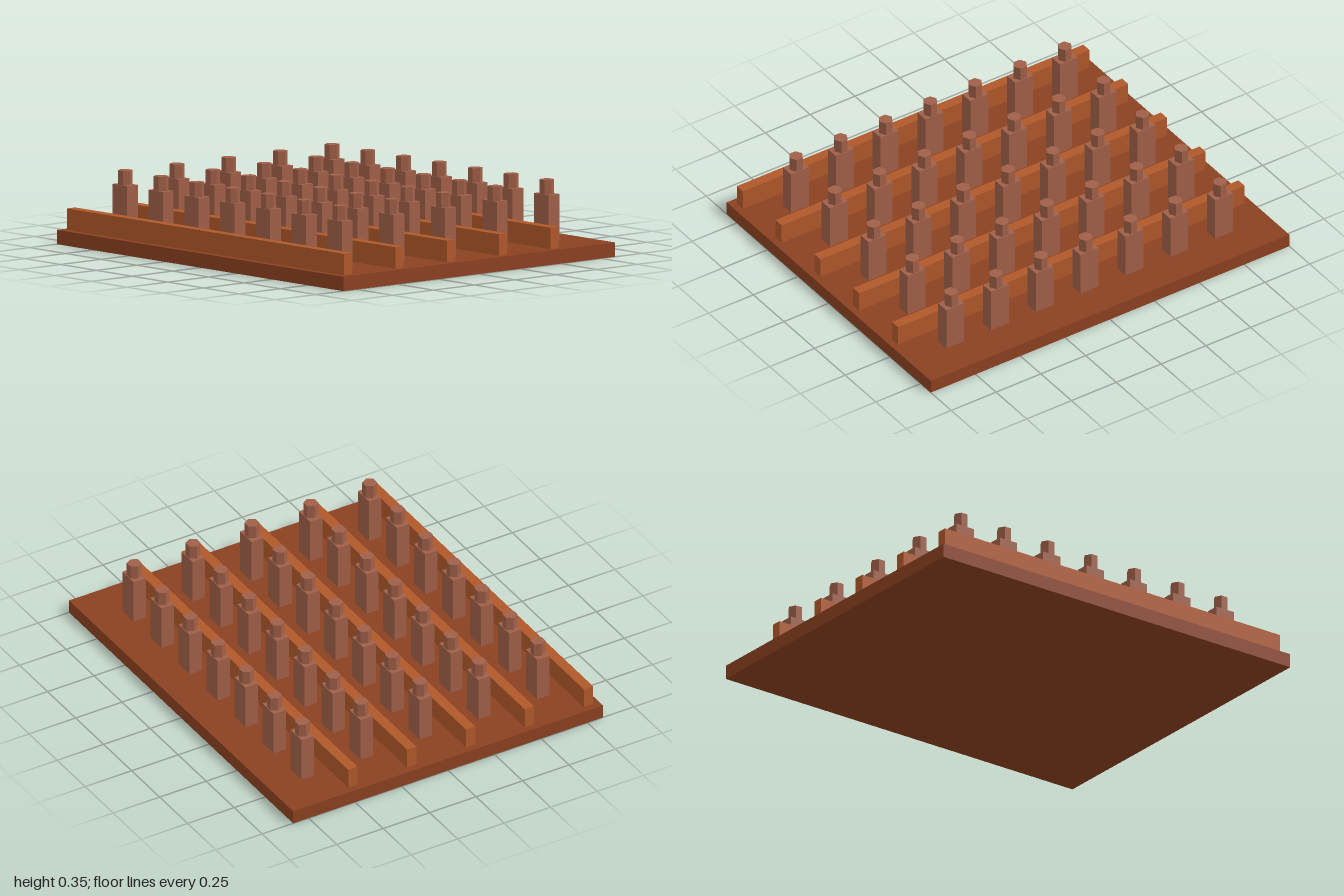
import * as THREE from 'three';

const mat = (name, color) => {
  const m = new THREE.MeshStandardMaterial({ color, flatShading: true });
  m.name = name;
  return m;
};

export function createModel() {
  const model = new THREE.Group();
  model.name = 'seatedRows';
  const darkClay = mat('dark clay', 0x8b4020);
  const orangeClay = mat('orange clay', 0xb0582a);
  const paleClay = mat('pale clay', 0xa05f48);

  const add = (parent, name, geometry, material, x, y, z) => {
    const mesh = new THREE.Mesh(geometry, material);
    mesh.name = name;
    mesh.position.set(x, y, z);
    parent.add(mesh);
  };

  const floorTop = 0.0667, rowGap = 0.3167, columnGap = 0.25;

  // Floor slab
  add(model, 'floor', new THREE.BoxGeometry(2, floorTop, 1.6667), darkClay, 0, floorTop / 2, 0);

  const benchGeo = new THREE.BoxGeometry(1.9333, 0.1, 0.05);
  const bodyGeo = new THREE.BoxGeometry(0.1, 0.22, 0.0667);
  // Hexagonal head with corners pointing sideways
  const headGeo = new THREE.CylinderGeometry(0.0345, 0.0345, 0.0667, 6).rotateY(Math.PI / 2);

  // Five rows, each with seven figures behind a long bench
  for (let row = -2; row <= 2; row++) {
    const z = row * rowGap;
    add(model, 'bench', benchGeo, orangeClay, 0, floorTop + 0.05, z + 0.1417);
    for (let column = -3; column <= 3; column++) {
      const figure = new THREE.Group();
      figure.name = 'figure';
      figure.position.set(column * columnGap, floorTop, z);
      add(figure, 'body', bodyGeo, paleClay, 0, 0.11, 0);
      add(figure, 'head', headGeo, paleClay, 0, 0.2533, 0);
      model.add(figure);
    }
  }
  return model;
}
